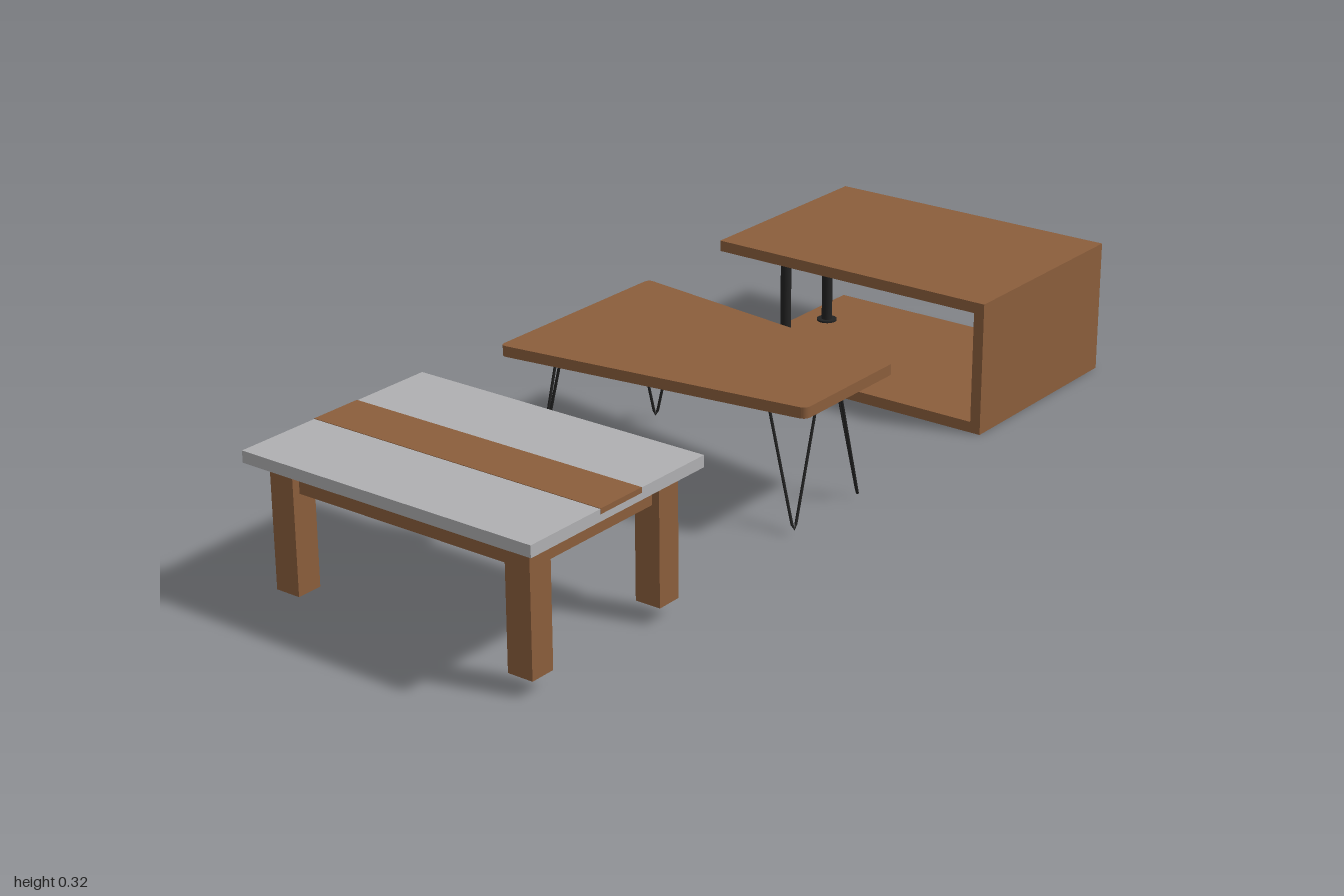
import * as THREE from 'three';

const wood = new THREE.MeshStandardMaterial({ color: 0x8b5e3c });
wood.name = 'wood';
const glass = new THREE.MeshStandardMaterial({ color: 0xb0b0b2 });
glass.name = 'grey glass';
const iron = new THREE.MeshStandardMaterial({ color: 0x222222 });
iron.name = 'black iron';

function add(parent, name, geometry, material, x = 0, y = 0, z = 0) {
  const mesh = new THREE.Mesh(geometry, material);
  mesh.name = name;
  mesh.position.set(x, y, z);
  parent.add(mesh);
  return mesh;
}

// Box given by its limits on each axis
function slab(parent, name, material, [x0, x1], [y0, y1], [z0, z1]) {
  return add(parent, name, new THREE.BoxGeometry(x1 - x0, y1 - y0, z1 - z0), material,
    (x0 + x1) / 2, (y0 + y1) / 2, (z0 + z1) / 2);
}

// Polygon with rounded corners, points as [x, y]
function roundedShape(points, r) {
  const pts = points.map(([x, y]) => new THREE.Vector2(x, y));
  const shape = new THREE.Shape();
  pts.forEach((p, i) => {
    const prev = pts[(i + pts.length - 1) % pts.length];
    const next = pts[(i + 1) % pts.length];
    const a = p.clone().add(prev.clone().sub(p).setLength(r));
    const b = p.clone().add(next.clone().sub(p).setLength(r));
    if (i === 0) shape.moveTo(a.x, a.y);
    else shape.lineTo(a.x, a.y);
    shape.quadraticCurveTo(p.x, p.y, b.x, b.y);
  });
  shape.closePath();
  return shape;
}

// Horizontal plate from [x, z] points, rising from y = 0
function plate(points, r, height) {
  const shape = roundedShape(points.map(([x, z]) => [x, -z]), r);
  return new THREE.ExtrudeGeometry(shape, { depth: height, bevelEnabled: false, curveSegments: 6 })
    .rotateX(-Math.PI / 2);
}

// Glass-topped table with square legs and an apron
function glassTable() {
  const table = new THREE.Group();
  table.name = 'glassTable';
  table.position.set(-0.7575, 0, 0.025);
  slab(table, 'glassTop', glass, [-0.2425, 0.2425], [0.293, 0.317], [-0.341, 0.341]);
  slab(table, 'woodStripe', wood, [-0.055, 0.06], [0.307, 0.318], [-0.3415, 0.3415]);
  for (const s of [-1, 1]) {
    for (const t of [-1, 1]) {
      add(table, 'squareLeg', new THREE.BoxGeometry(0.056, 0.258, 0.056), wood, s * 0.18, 0.164, t * 0.28);
    }
    add(table, 'sideApron', new THREE.BoxGeometry(0.023, 0.056, 0.504), wood, s * 0.18, 0.265, 0);
    add(table, 'endApron', new THREE.BoxGeometry(0.304, 0.056, 0.023), wood, 0, 0.265, s * 0.28);
  }
  return table;
}

// One hairpin leg whose foot is at the origin; sx and sz point inward
function hairpinLeg(sx, sz) {
  const leg = new THREE.Group();
  leg.name = 'hairpinLeg';
  const points = [
    [0, 0.26, 0.066], [0, 0.015, 0.006], [0.0005, 0.004, 0.0025],
    [0.0025, 0.004, 0.0005], [0.006, 0.015, 0], [0.075, 0.26, 0],
  ].map(([x, y, z]) => new THREE.Vector3(x * sx, y, z * sz));
  const path = new THREE.CurvePath();
  for (let i = 1; i < points.length; i++) path.add(new THREE.LineCurve3(points[i - 1], points[i]));
  add(leg, 'hairpinRod', new THREE.TubeGeometry(path, 48, 0.003, 8), iron);
  // Mounting plate under the top
  const corners = [[-0.008, -0.008], [0.09, -0.008], [0.06, 0.05], [-0.008, 0.085]]
    .map(([x, z]) => [x * sx, z * sz]);
  add(leg, 'mountingPlate', plate(corners, 0.014, 0.004), iron, 0, 0.257, 0);
  return leg;
}

// Tapered table on four hairpin legs
function hairpinTable() {
  const table = new THREE.Group();
  table.name = 'hairpinTable';
  table.position.x = -0.025;
  const outline = [[-0.242, -0.333], [0.242, -0.333], [0.15, 0.352], [-0.15, 0.352]];
  add(table, 'taperedTop', plate(outline, 0.016, 0.023), wood, 0, 0.27, 0);
  for (const s of [-1, 1]) {
    const back = hairpinLeg(-s, 1);
    back.position.set(s * 0.196, 0.009, -0.281);
    const front = hairpinLeg(-s, -1);
    front.position.set(s * 0.111, 0.009, 0.3);
    table.add(back, front);
  }
  return table;
}

// C-shaped table: top, base and front panel, with pipe posts at the open back
function panelTable() {
  const table = new THREE.Group();
  table.name = 'panelTable';
  table.position.x = 0.7565;
  const width = [-0.2435, 0.2435];
  slab(table, 'panelTop', wood, width, [0.269, 0.293], [-0.364, 0.319]);
  slab(table, 'panelBase', wood, width, [0, 0.024], [-0.364, 0.319]);
  slab(table, 'frontPanel', wood, width, [0.024, 0.269], [0.295, 0.319]);
  for (const s of [-1, 1]) {
    add(table, 'pipePost', new THREE.CylinderGeometry(0.012, 0.012, 0.245, 24), iron, s * 0.082, 0.1465, -0.3);
    for (const y of [0.026, 0.267]) {
      add(table, 'postFlange', new THREE.CylinderGeometry(0.023, 0.023, 0.004, 28), iron, s * 0.082, y, -0.3);
    }
  }
  return table;
}

export function createModel() {
  const model = new THREE.Group();
  model.name = 'coffeeTables';
  model.add(glassTable(), hairpinTable(), panelTable());
  return model;
}
